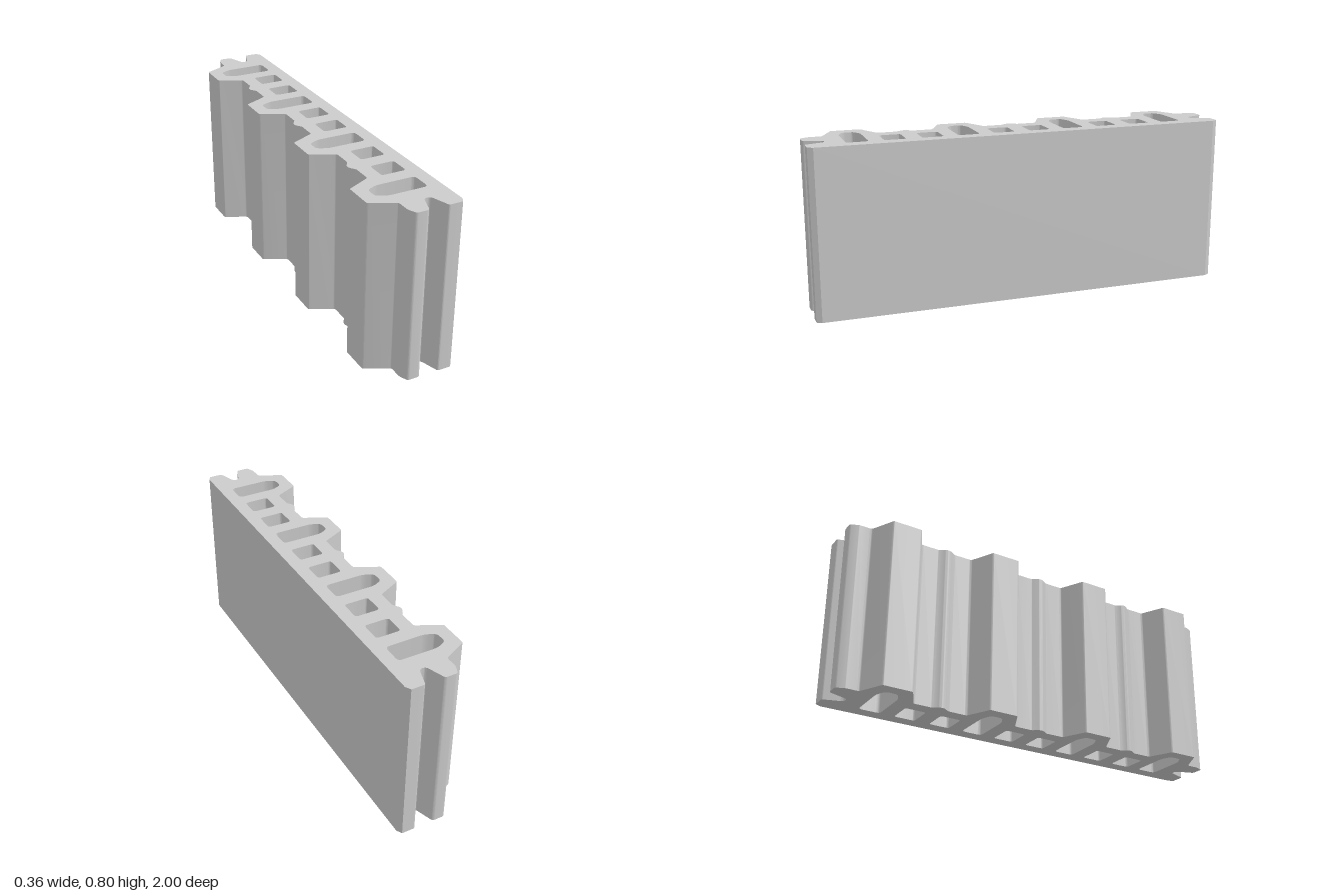
import * as THREE from 'three';
import { toCreasedNormals } from 'three/addons/utils/BufferGeometryUtils.js';

const HEIGHT = 0.8, PITCH = 0.515;

// Trace a closed polygon of [x, z, cornerRadius] points, rounding each corner
function roundedPolygon(points, path) {
  const n = points.length;
  const toward = (a, b, d) => {
    const dx = b[0] - a[0], dy = b[1] - a[1], len = Math.hypot(dx, dy);
    const t = Math.min(d / len, 0.45);
    return [a[0] + dx * t, a[1] + dy * t];
  };
  points.forEach((p, i) => {
    const r = p[2] ?? 0;
    const a = toward(p, points[(i + n - 1) % n], r);
    const b = toward(p, points[(i + 1) % n], r);
    if (i === 0) path.moveTo(...a); else path.lineTo(...a);
    if (r > 0) path.quadraticCurveTo(p[0], p[1], ...b);
  });
  path.closePath();
  return path;
}

// Grooved end with two tongues, from the smooth face to the ribbed face
const end = [
  [0.18, 0.975], [0.166, 1], [0.102, 1, 0.008], [0.072, 0.908, 0.018], [0.042, 0.908, 0.018],
  [0.01, 1, 0.012], [-0.048, 1, 0.008], [-0.066, 0.96, 0.008],
];

function wallOutline() {
  const pts = [...end];
  // Ribbed face: a big rib at each pitch, a small nub between ribs
  for (let i = 0; i < 4; i++) {
    const c = (1.5 - i) * PITCH;
    pts.push([-0.066, c + 0.126, 0.01], [-0.18, c + 0.07, 0.006], [-0.18, c - 0.07, 0.006], [-0.066, c - 0.126, 0.01]);
    if (i < 3) {
      const m = c - PITCH / 2;
      pts.push([-0.066, m + 0.04, 0.006], [-0.087, m + 0.01, 0.008], [-0.087, m - 0.01, 0.008], [-0.066, m - 0.04, 0.006]);
    }
  }
  pts.push(...end.map(([x, z, r]) => [x, -z, r]).reverse());
  return pts;
}

// Long chamber behind a rib, with a tapered end
const longChamber = (c) => [
  [0.117, c - 0.051, 0.02], [0.117, c + 0.051, 0.02], [-0.072, c + 0.051, 0.02],
  [-0.12, c + 0.028, 0.016], [-0.12, c - 0.028, 0.016], [-0.072, c - 0.051, 0.02],
];

// Square chamber between ribs
const squareChamber = (c) => [
  [0.117, c - 0.05, 0.014], [0.117, c + 0.05, 0.014], [0, c + 0.05, 0.014], [0, c - 0.05, 0.014],
];

export function createModel() {
  const group = new THREE.Group();
  group.name = 'hollowWallBlock';

  const shape = roundedPolygon(wallOutline(), new THREE.Shape());
  const addHole = (pts) => shape.holes.push(roundedPolygon(pts, new THREE.Path()));
  for (let i = 0; i < 4; i++) {
    const c = (1.5 - i) * PITCH;
    addHole(longChamber(c));
    if (i < 3) for (const s of [1, -1]) addHole(squareChamber(c - PITCH / 2 + s * 0.087));
  }

  // Extrude the plan upward
  const geometry = new THREE.ExtrudeGeometry(shape, { depth: HEIGHT, bevelEnabled: false, curveSegments: 5 });
  geometry.rotateX(-Math.PI / 2);

  const block = new THREE.Mesh(
    toCreasedNormals(geometry, 0.5),
    new THREE.MeshStandardMaterial({ color: 0xcccccc })
  );
  block.name = 'block';
  group.add(block);
  return group;
}
